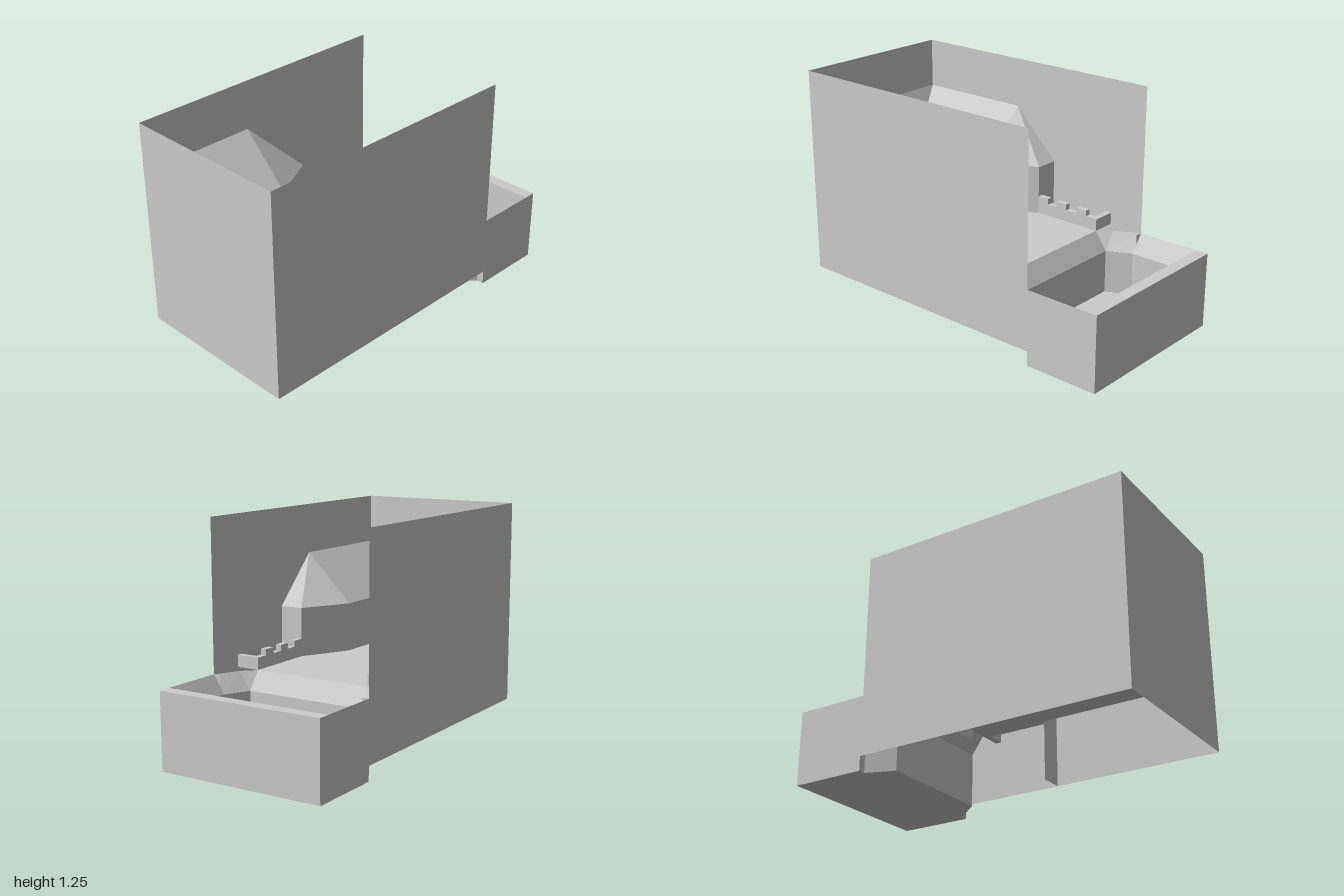
import * as THREE from 'three';

const material = new THREE.MeshStandardMaterial({ color: 0xcccccc, side: THREE.DoubleSide, flatShading: true });

// Main dimensions
const W = 0.48, IN = 0.205, MID = 0.345;        // half widths: shell, channel, bridge
const TOP = 1.25, RIM = 0.97, LEDGE = 0.695, DECK = 0.42, BASE = 0.08;

// Thin convex panels, each a list of corners, merged into one mesh
function panels(name, polys) {
  const pos = [];
  for (const p of polys)
    for (let i = 1; i < p.length - 1; i++) pos.push(...p[0], ...p[i], ...p[i + 1]);
  const g = new THREE.BufferGeometry();
  g.setAttribute('position', new THREE.Float32BufferAttribute(pos, 3));
  g.computeVertexNormals();
  const m = new THREE.Mesh(g, material);
  m.name = name;
  return m;
}

// Same panels on both sides of the z = 0 plane
const both = polys => [...polys, ...polys.map(p => p.map(([x, y, z]) => [x, y, -z]).reverse())];

// Panel spanning the full width between two (x, y, halfWidth) edges
const across = (a, b) => [
  [a[0], a[1], a[2]], [b[0], b[1], b[2]], [b[0], b[1], -b[2]], [a[0], a[1], -a[2]],
];

// Upright panel between two plan points (x, z)
const upright = ([x0, z0], [x1, z1], y0, y1) => [[x0, y0, z0], [x1, y0, z1], [x1, y1, z1], [x0, y1, z0]];

function box(name, x0, x1, y0, y1, z0, z1) {
  const m = new THREE.Mesh(new THREE.BoxGeometry(x1 - x0, y1 - y0, z1 - z0), material);
  m.position.set((x0 + x1) / 2, (y0 + y1) / 2, (z0 + z1) / 2);
  m.name = name;
  return m;
}

export function createModel() {
  const group = new THREE.Group();

  // Tall outer walls, open above and below
  group.add(panels('outerSideWalls', both([upright([-1, W], [0.575, W], BASE, TOP)])));
  group.add(panels('backWall', [across([-1, BASE, W], [-1, TOP, W])]));

  // Sloping sides inside the hall
  group.add(panels('innerSlopes', [
    across([-1, RIM, W], [-0.865, LEDGE, IN]),
    ...both([
      [[-1, RIM, W], [-0.865, LEDGE, IN], [-0.315, LEDGE, IN], [-0.315, RIM, W]],
      [[-0.315, RIM, W], [-0.315, LEDGE, IN], [-0.04, LEDGE, MID]],
      [[-0.315, RIM, W], [-0.04, LEDGE, MID], [-0.04, LEDGE, W]],
    ]),
  ]));

  // Channel walls below the slopes
  group.add(panels('channelWalls', [
    across([-0.865, DECK, IN], [-0.865, LEDGE, IN]),
    ...both([
      upright([-1, IN], [-0.315, IN], DECK, LEDGE),
      upright([-0.315, IN], [-0.04, MID], DECK, LEDGE),
    ]),
  ]));
  group.add(panels('crossWalls', both([upright([-0.04, MID], [-0.04, W], BASE, LEDGE)])));

  // Deck with a raised platform at the back
  group.add(panels('deck', [across([-0.865, DECK, MID], [0.37, DECK, MID])]));
  group.add(panels('platform', [
    across([-0.865, 0.485, IN], [-0.615, 0.485, IN]),
    across([-0.615, 0.485, IN], [-0.615, DECK, IN]),
  ]));

  // Notched parapets and short end walls beside the deck
  for (const s of [1, -1]) {
    const place = (name, x0, x1, y0, y1, a, b) =>
      group.add(box(name, x0, x1, y0, y1, Math.min(s * a, s * b), Math.max(s * a, s * b)));
    place('parapet', -0.04, 0.37, DECK, 0.487, MID, 0.378);
    for (const x of [-0.04, 0.09, 0.23]) place('merlon', x, x + 0.068, 0.487, 0.52, MID, 0.378);
    place('parapetEnd', 0.335, 0.37, DECK, 0.487, 0.378, W);
  }

  // Basin: bevelled lip, inner walls and floor
  const lip = [[0.37, MID], [0.44, 0.41], [0.575, W], [0.93, W]];
  const inner = [[0.44, MID], [0.44, MID], [0.575, 0.41], [0.93, 0.41]];
  const lipY = 0.32, floorY = 0.075;
  const at = ([x, z], y) => [x, y, z];
  const bevel = [], walls = [];
  for (let i = 0; i < 3; i++) {
    bevel.push([at(lip[i], DECK), at(lip[i + 1], DECK), at(inner[i + 1], lipY), at(inner[i], lipY)]);
    if (i) walls.push(upright(inner[i], inner[i + 1], floorY, lipY));
  }
  group.add(panels('basinLip', [across([0.37, DECK, MID], [0.44, lipY, MID]), ...both(bevel)]));
  group.add(panels('basinInnerWalls', [
    across([0.44, 0.015, MID], [0.44, lipY, MID]),
    across([0.93, floorY, W], [0.93, DECK, W]),
    ...both(walls),
  ]));
  group.add(panels('basinFloor', [
    across([0.44, floorY, MID], [0.575, floorY, 0.41]),
    across([0.575, floorY, 0.41], [0.93, floorY, 0.41]),
  ]));

  // Basin outer shell
  group.add(panels('basinShell', [
    across([1, 0, W], [1, DECK, W]),
    across([0.93, DECK, W], [1, DECK, W]),
    across([0.575, 0, W], [1, 0, W]),
    across([0.44, 0.015, MID], [0.575, 0, 0.44]),
    ...both([
      upright([0.575, W], [1, W], 0, DECK),
      upright([0.575, 0.44], [0.575, W], 0, DECK),
      [[0.44, 0.015, MID], [0.575, 0, 0.44], [0.575, lipY, 0.44], [0.44, lipY, MID]],
    ]),
  ]));

  return group;
}
